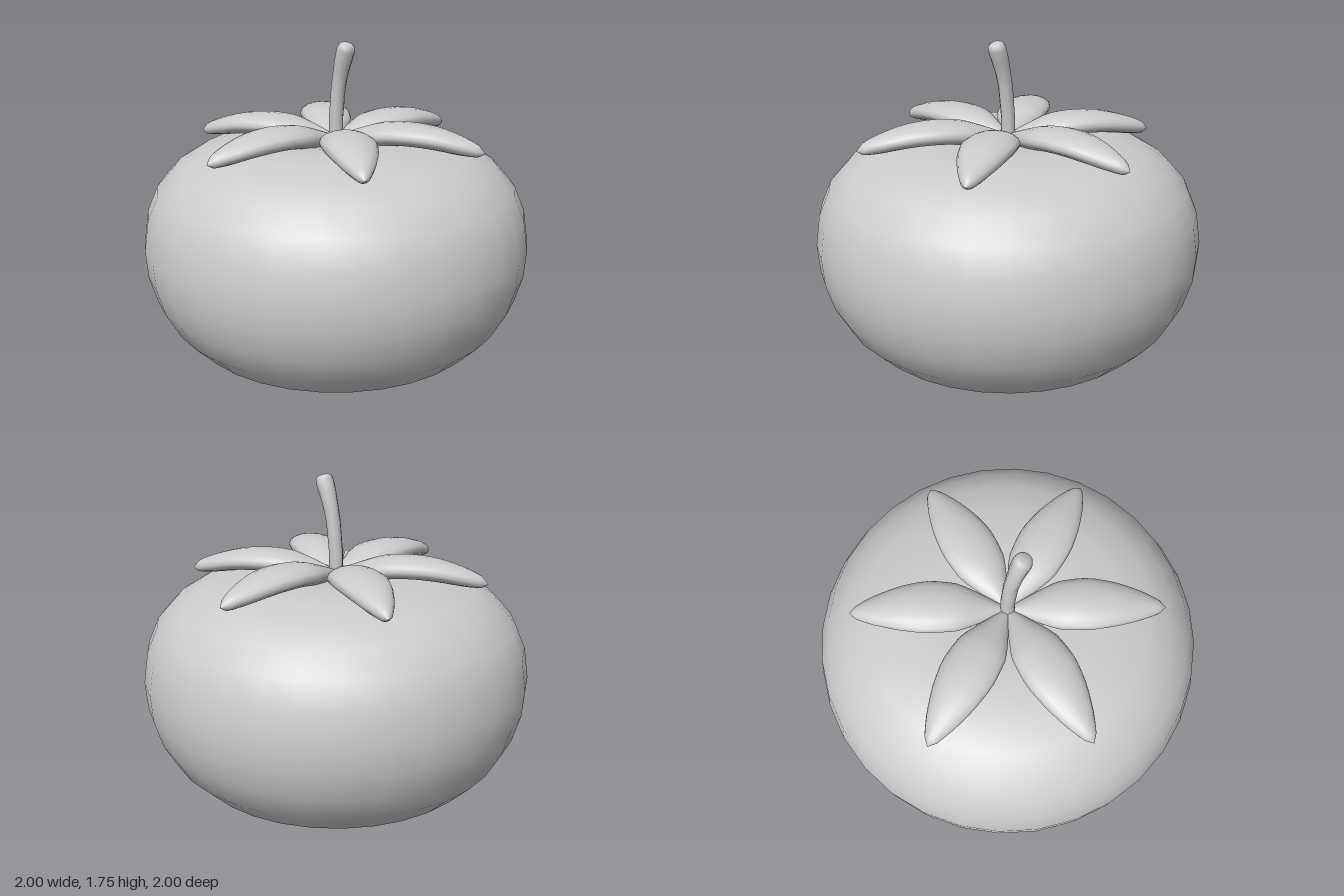
import * as THREE from 'three';

const material = new THREE.MeshStandardMaterial({ color: 0xcccccc });

// Smooth skin over elliptical rings: each ring has a centre c and half-axes u, v
function loft(rings, sides) {
  const positions = [];
  const index = [];
  rings.forEach(({ c, u, v }, i) => {
    for (let j = 0; j < sides; j++) {
      const a = (j / sides) * Math.PI * 2;
      const p = c.clone().addScaledVector(u, Math.cos(a)).addScaledVector(v, Math.sin(a));
      positions.push(p.x, p.y, p.z);
      if (i === rings.length - 1) continue;
      const k = (j + 1) % sides;
      const p0 = i * sides + j, p1 = i * sides + k;
      index.push(p0, p1, p0 + sides, p1, p1 + sides, p0 + sides);
    }
  });
  const geometry = new THREE.BufferGeometry();
  geometry.setAttribute('position', new THREE.Float32BufferAttribute(positions, 3));
  geometry.setIndex(index);
  geometry.computeVertexNormals();
  return geometry;
}

const curve = (points) => new THREE.CatmullRomCurve3(points.map((p) => new THREE.Vector3(p[0], p[1], 0)));

// Squat round fruit with a shallow dip under the stem
function fruitGeometry() {
  const profile = [
    [0, 0], [0.2, 0.012], [0.41, 0.05], [0.6, 0.12], [0.76, 0.21], [0.875, 0.325],
    [0.95, 0.46], [0.99, 0.6], [1, 0.74], [0.975, 0.9], [0.92, 1.025], [0.825, 1.13],
    [0.71, 1.2], [0.56, 1.24], [0.4, 1.258], [0.25, 1.255], [0.1, 1.235], [0, 1.225],
  ].map((p) => new THREE.Vector2(p[0], p[1]));
  return new THREE.LatheGeometry(profile, 32);
}

// Plump pointed leaf running out along +x
function leafGeometry() {
  // [radius, height, half width, half thickness]
  const stations = [
    [0, 1.25, 0.01, 0.02], [0.12, 1.272, 0.07, 0.045], [0.25, 1.298, 0.125, 0.058],
    [0.38, 1.308, 0.135, 0.056], [0.52, 1.298, 0.115, 0.054], [0.65, 1.272, 0.075, 0.046],
    [0.74, 1.25, 0.034, 0.03], [0.775, 1.24, 0, 0],
  ];
  const spine = curve(stations);
  const size = curve(stations.map((s) => [s[2], s[3]]));
  const steps = 21;
  const rings = [];
  for (let i = 0; i <= steps; i++) {
    const s = size.getPoint(i / steps);
    rings.push({
      c: spine.getPoint(i / steps),
      u: new THREE.Vector3(0, Math.max(s.y, 0), 0),
      v: new THREE.Vector3(0, 0, Math.max(s.x, 0)),
    });
  }
  return loft(rings, 16);
}

// Stem leaning towards +x, widening to a rounded end
function stemGeometry() {
  const path = curve([[0, 1.2], [0, 1.36], [0.018, 1.52], [0.05, 1.64], [0.088, 1.745]]);
  const stops = [0, 0.25, 0.5, 0.65, 0.8, 0.93, 0.98, 1, 1];
  const radii = [0.036, 0.036, 0.037, 0.039, 0.044, 0.047, 0.04, 0.026, 0];
  const rings = stops.map((t, i) => {
    const d = path.getTangent(t);
    return {
      c: path.getPoint(t),
      u: new THREE.Vector3(0, 0, radii[i]),
      v: new THREE.Vector3(d.y, -d.x, 0).multiplyScalar(radii[i]),
    };
  });
  return loft(rings, 10);
}

export function createModel() {
  const model = new THREE.Group();
  const add = (name, geometry, parent = model) => {
    const mesh = new THREE.Mesh(geometry, material);
    mesh.name = name;
    parent.add(mesh);
    return mesh;
  };

  add('fruit', fruitGeometry());

  // Star of six leaves
  const leaves = new THREE.Group();
  leaves.name = 'leaves';
  model.add(leaves);
  const leaf = leafGeometry();
  for (let i = 0; i < 6; i++) {
    add('leaf', leaf, leaves).rotation.y = Math.PI / 6 + (i * Math.PI) / 3;
  }

  add('stem', stemGeometry());
  return model;
}
